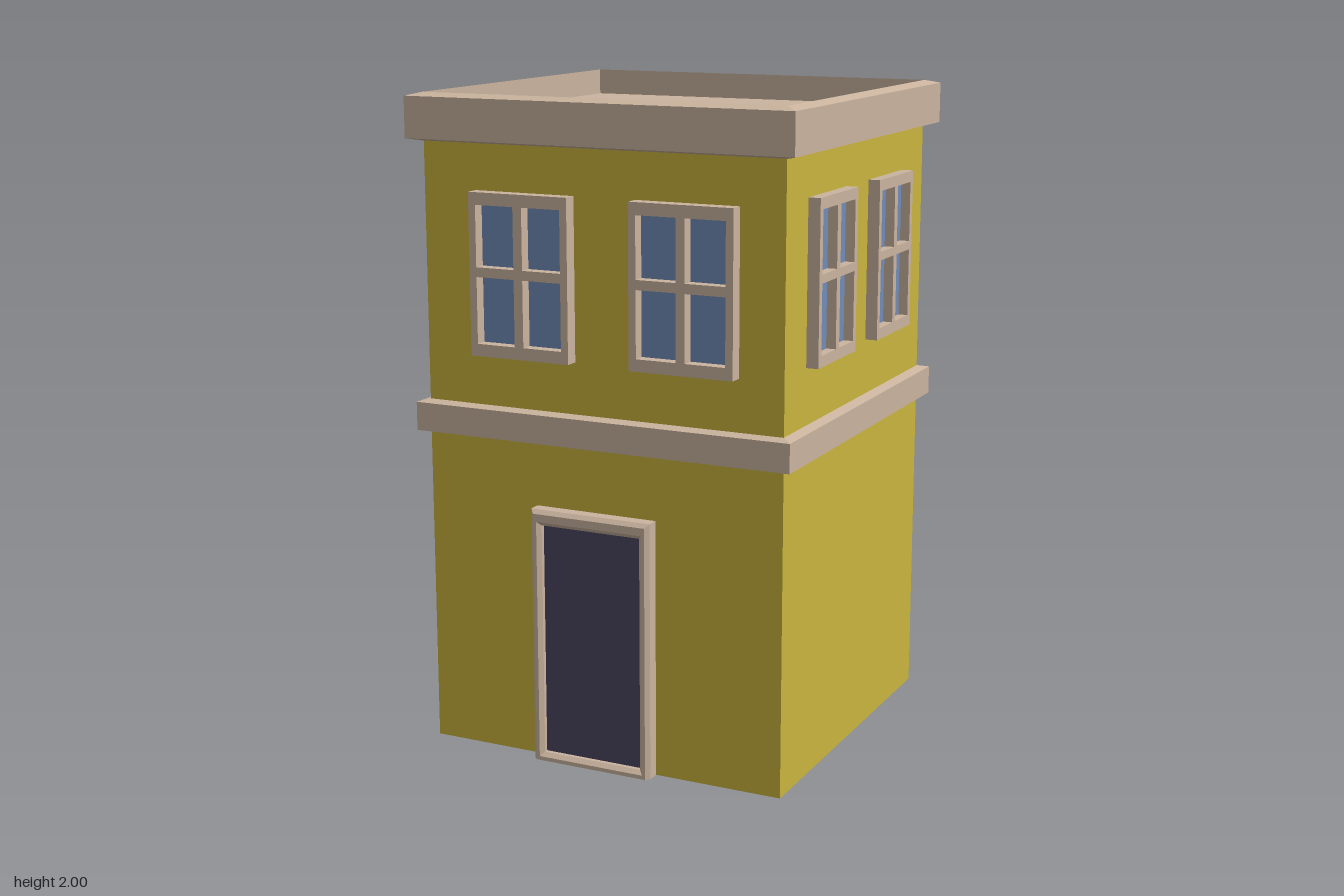
import * as THREE from 'three';

const mat = (name, color) => {
  const m = new THREE.MeshStandardMaterial({ color });
  m.name = name;
  return m;
};

// Loft of rectangles: each ring is [halfX, halfZ, y], listed from bottom outward to top.
function rectLoft(rings, cz, capLast) {
  const pos = [];
  const corners = rings.map(([hx, hz, y]) => [
    [-hx, y, cz + hz], [hx, y, cz + hz], [hx, y, cz - hz], [-hx, y, cz - hz],
  ]);
  const quad = (a, b, c, d) => pos.push(...a, ...b, ...c, ...a, ...c, ...d);
  for (let i = 0; i < corners.length - 1; i++) {
    const lo = corners[i], hi = corners[i + 1];
    for (let k = 0; k < 4; k++) {
      const n = (k + 1) % 4;
      quad(lo[k], lo[n], hi[n], hi[k]);
    }
  }
  if (capLast) quad(...corners[corners.length - 1]);
  const g = new THREE.BufferGeometry();
  g.setAttribute('position', new THREE.Float32BufferAttribute(pos, 3));
  g.computeVertexNormals();
  return g;
}

function rectPath(Type, x0, x1, y0, y1) {
  const p = new Type();
  p.moveTo(x0, y0);
  p.lineTo(x1, y0);
  p.lineTo(x1, y1);
  p.lineTo(x0, y1);
  p.closePath();
  return p;
}

export function createModel() {
  const wall = mat('yellow wall', 0xc9b53d);
  const trim = mat('beige trim', 0xcbb49f);
  const glass = mat('blue glass', 0x718db9);
  const doorPaint = mat('dark door', 0x4b4560);

  const model = new THREE.Group();
  model.name = 'house';
  const add = (parent, name, geometry, material, x = 0, y = 0, z = 0) => {
    const m = new THREE.Mesh(geometry, material);
    m.name = name;
    m.position.set(x, y, z);
    parent.add(m);
    return m;
  };

  // Walls
  add(model, 'walls', new THREE.BoxGeometry(1.16, 1.88, 1.105), wall, 0, 0.94, -0.0025);

  // Band between the storeys, with slightly sloped ledges
  add(model, 'storeyBand', rectLoft([
    [0.58, 0.552, 0.98], [0.611, 0.585, 0.985], [0.611, 0.585, 1.072], [0.58, 0.552, 1.08],
  ], -0.004, false), trim);

  // Roof with a raised rim around a sunken floor
  add(model, 'roof', rectLoft([
    [0.58, 0.552, 1.857], [0.62, 0.595, 1.866], [0.62, 0.595, 1.99],
    [0.58, 0.555, 2.0], [0.58, 0.555, 1.92],
  ], -0.005, true), trim);

  // Four-pane window on a wall plane: columns and rows hold pane extents
  function addWindow(parent, w, h, cx, cy, wallZ, depth, border, bar, barY) {
    const g = new THREE.Group();
    g.name = 'window';
    g.position.set(cx, cy, wallZ);
    const shape = rectPath(THREE.Shape, -w / 2, w / 2, -h / 2, h / 2);
    const cols = [[-w / 2 + border, -bar / 2], [bar / 2, w / 2 - border]];
    const rows = [[-h / 2 + border * 1.6, barY - bar / 2], [barY + bar / 2, h / 2 - border * 1.6]];
    for (const [x0, x1] of cols) {
      for (const [y0, y1] of rows) shape.holes.push(rectPath(THREE.Path, x0, x1, y0, y1));
    }
    add(g, 'windowFrame', new THREE.ExtrudeGeometry(shape, { depth, bevelEnabled: false }), trim);
    add(g, 'windowGlass', new THREE.BoxGeometry(w - 0.01, h - 0.01, 0.008), glass, 0, 0, 0.003);
    parent.add(g);
  }

  // Front windows
  for (const cx of [-0.243, 0.279]) {
    addWindow(model, 0.325, 0.485, cx, 1.478, 0.55, 0.044, 0.023, 0.029, 0.008);
  }

  // Side windows, the same on both sides
  for (const side of [1, -1]) {
    const g = new THREE.Group();
    g.name = side > 0 ? 'leftWindows' : 'rightWindows';
    g.rotation.y = side * Math.PI / 2;
    for (const z of [0.248, -0.223]) {
      addWindow(g, 0.291, 0.486, -side * z, 1.492, 0.58, side > 0 ? 0.037 : 0.043, 0.021, 0.026, 0.012);
    }
    model.add(g);
  }

  // Door surround: bevelled frame around a recessed panel
  const door = new THREE.Group();
  door.name = 'door';
  door.position.set(-0.018, 0, 0.55);
  const b = 0.012;
  const frame = rectPath(THREE.Shape, -0.196 + b, 0.196 - b, 0, 0.788 - b);
  frame.holes.push(rectPath(THREE.Path, -0.168 - b / 2, 0.168 + b / 2, 0.012, 0.74 + b));
  const frameGeo = new THREE.ExtrudeGeometry(frame, {
    depth: 0.038, bevelEnabled: true, bevelSize: b, bevelThickness: b, bevelSegments: 1,
  });
  // Keep the foot of the frame on the ground
  const p = frameGeo.attributes.position;
  for (let i = 0; i < p.count; i++) p.setY(i, Math.max(0, p.getY(i)));
  frameGeo.computeVertexNormals();
  add(door, 'doorFrame', frameGeo, trim);
  add(door, 'doorPanel', new THREE.BoxGeometry(0.345, 0.74, 0.03), doorPaint, 0, 0.376, 0.01);
  model.add(door);

  return model;
}
